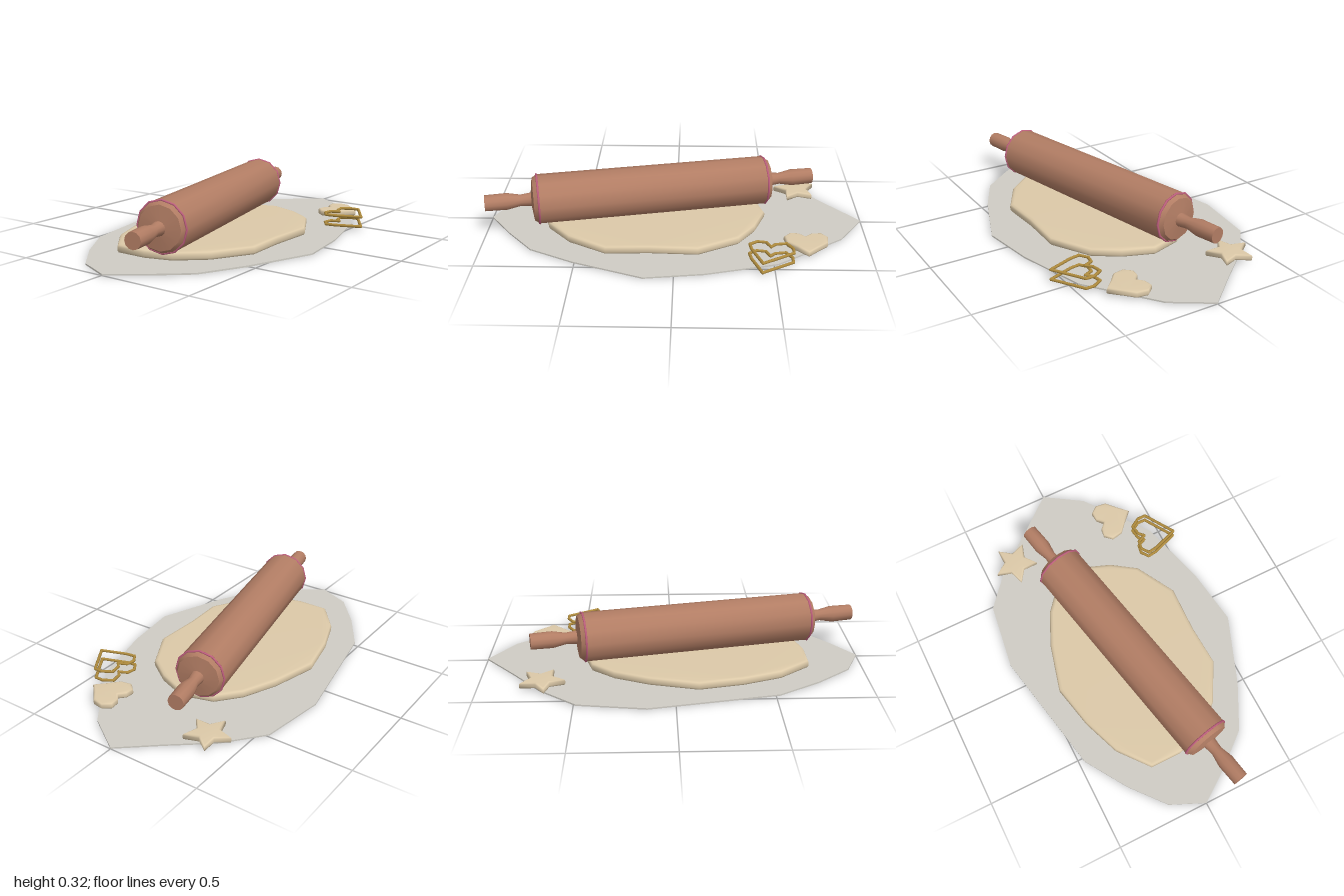
import * as THREE from 'three';
import { mergeVertices, toCreasedNormals } from 'three/addons/utils/BufferGeometryUtils.js';

const mat = (name, color) => {
  const m = new THREE.MeshStandardMaterial({ color });
  m.name = name;
  return m;
};

export function createModel() {
  const model = new THREE.Group();
  model.name = 'bakingSet';
  const flour = mat('flour', 0xcfccc4);
  const dough = mat('dough', 0xdcc9a8);
  const wood = mat('wood', 0xb27d64);
  const pink = mat('pink', 0xc0607f);
  const brass = mat('brass', 0xb08c3e);

  const add = (parent, name, geometry, material) => {
    const mesh = new THREE.Mesh(geometry, material);
    mesh.name = name;
    parent.add(mesh);
    return mesh;
  };

  // Flat slab from an outline of [x, z] points
  const slab = (outline, y0, y1, bevel = 0, rise = 0) => {
    const shape = new THREE.Shape(outline.map(([x, z]) => new THREE.Vector2(x, -z)));
    const g = new THREE.ExtrudeGeometry(shape, {
      depth: y1 - y0 - 2 * rise, bevelEnabled: bevel > 0, bevelSegments: 2,
      bevelSize: bevel, bevelOffset: -bevel, bevelThickness: rise,
    });
    g.rotateX(-Math.PI / 2).translate(0, y0 + rise, 0);
    return g;
  };
  // Slab with softly rounded, fully smooth edges
  const softSlab = (...args) => {
    const g = slab(...args);
    g.deleteAttribute('normal');
    g.deleteAttribute('uv');
    const smooth = mergeVertices(g, 1e-4);
    smooth.computeVertexNormals();
    return smooth;
  };

  // Scattered flour
  add(model, 'flourPatch', slab([
    [-1, 0], [-0.92, -0.18], [-0.74, -0.33], [-0.52, -0.47], [0.14, -0.6], [0.49, -0.55],
    [0.68, -0.39], [0.84, -0.19], [1, 0], [0.87, 0.2], [0.52, 0.46], [0.15, 0.56],
    [-0.15, 0.6], [-0.51, 0.46], [-0.74, 0.34], [-0.88, 0.17],
  ], 0, 0.008), flour);

  // Rolled-out dough
  add(model, 'doughSheet', softSlab([
    [-0.12, -0.425], [0.13, -0.36], [0.31, -0.28], [0.43, -0.18], [0.48, -0.01], [0.42, 0.15],
    [0.33, 0.28], [0.12, 0.395], [-0.13, 0.385], [-0.35, 0.395], [-0.55, 0.28], [-0.67, 0.14],
    [-0.71, 0], [-0.71, -0.17], [-0.55, -0.3], [-0.35, -0.375],
  ], 0.01, 0.056, 0.02, 0.014), dough);

  // Star biscuit
  const star = [];
  for (let i = 0; i < 10; i++) {
    const a = THREE.MathUtils.degToRad(28 + 36 * i);
    const r = i % 2 ? 0.062 : 0.122;
    star.push([0.675 + r * Math.cos(a), -0.325 - r * Math.sin(a)]);
  }
  add(model, 'starBiscuit', softSlab(star, 0.011, 0.045, 0.01, 0.01), dough);

  // Heart biscuit
  add(model, 'heartBiscuit', softSlab([
    [0.68, 0.4], [0.625, 0.345], [0.575, 0.3], [0.564, 0.24], [0.6, 0.2], [0.645, 0.205],
    [0.677, 0.235], [0.71, 0.205], [0.76, 0.2], [0.793, 0.24], [0.785, 0.3], [0.735, 0.345],
  ], 0.011, 0.045, 0.01, 0.01), dough);

  // Heart cutter: two wire outlines, one above the other
  const wire = [
    [0.435, 0.56], [0.595, 0.46], [0.595, 0.415], [0.565, 0.365], [0.51, 0.375],
    [0.485, 0.4], [0.465, 0.355], [0.42, 0.347], [0.38, 0.375], [0.387, 0.425],
  ];
  const cutter = new THREE.Group();
  cutter.name = 'heartCutter';
  model.add(cutter);
  for (const y of [0.018, 0.071]) {
    wire.forEach(([x, z], i) => {
      const [x2, z2] = wire[(i + 1) % wire.length];
      const path = new THREE.LineCurve3(new THREE.Vector3(x, y, z), new THREE.Vector3(x2, y, z2));
      add(cutter, 'cutterWire', new THREE.TubeGeometry(path, 1, 0.008, 6), brass);
      add(cutter, 'cutterCorner', new THREE.SphereGeometry(0.008, 6, 4), brass).position.set(x, y, z);
    });
  }

  // Rolling pin, turned about its own axis and laid across the dough
  const lathe = (pts) => toCreasedNormals(
    new THREE.LatheGeometry(pts.map(([r, y]) => new THREE.Vector2(r, y)), 12), 0.7);
  const pin = new THREE.Group();
  pin.name = 'rollingPin';
  pin.position.set(-0.125, 0.187, -0.003);
  pin.rotation.set(0, THREE.MathUtils.degToRad(12.1), -Math.PI / 2);
  model.add(pin);
  add(pin, 'barrel', lathe([[0.13, -0.61], [0.13, 0.61]]), wood);
  for (const turn of [0, Math.PI]) {
    const end = new THREE.Group();
    end.name = 'pinEnd';
    end.rotation.x = turn;
    pin.add(end);
    add(end, 'handle', lathe([
      [0.13, 0.61], [0.112, 0.635], [0.036, 0.645], [0.03, 0.7], [0.044, 0.77],
      [0.042, 0.885], [0, 0.885],
    ]), wood);
    const ring = new THREE.TorusGeometry(0.129, 0.006, 6, 12).rotateX(Math.PI / 2);
    add(end, 'pinkBand', ring, pink).position.y = 0.61;
  }
  return model;
}
